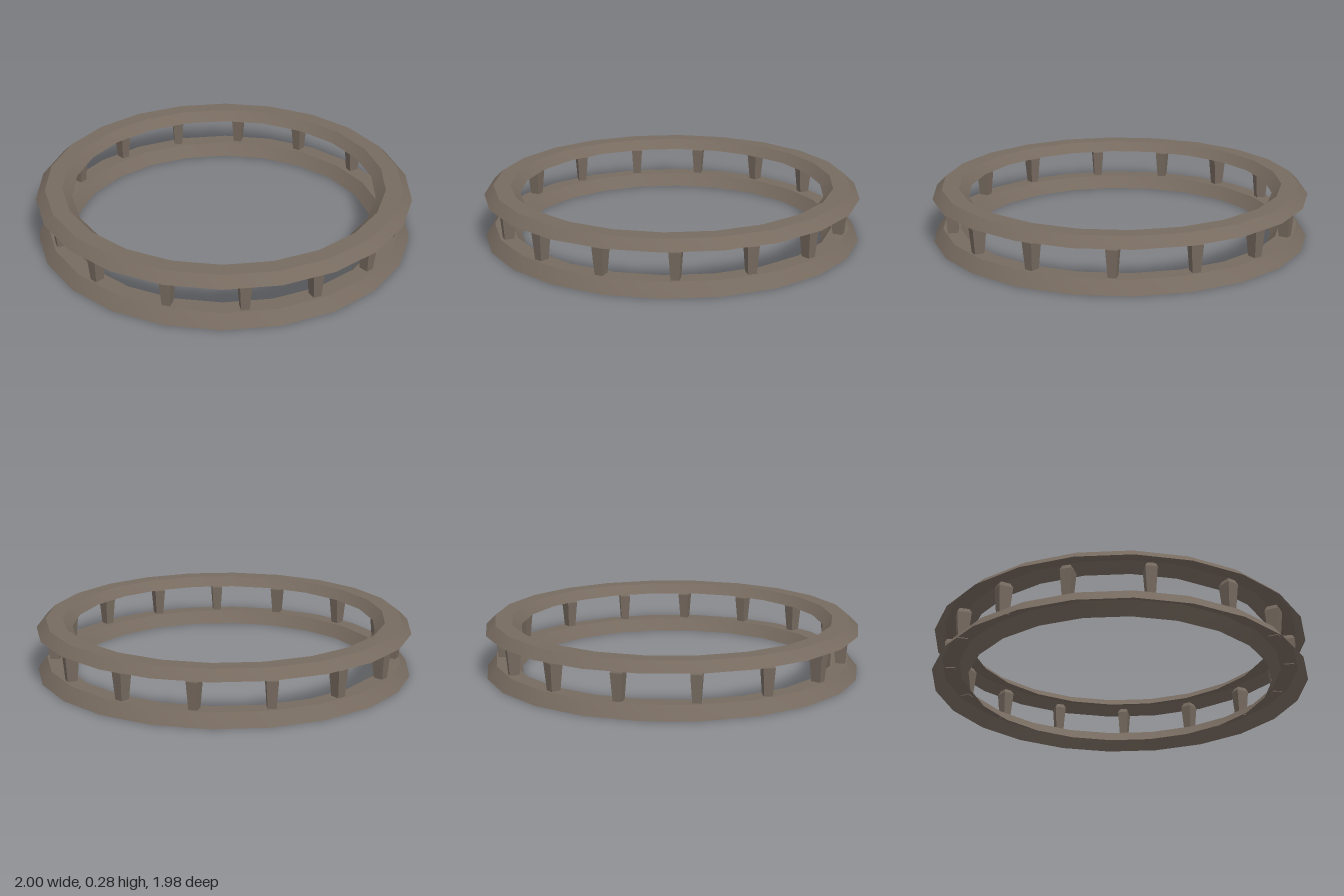
import * as THREE from 'three';
import { toCreasedNormals } from 'three/addons/utils/BufferGeometryUtils.js';

const SIDES = 22;

// Hollow ring: sloping outer wall, flat top, sloping inner wall, open underneath
function ringGeometry(y0, y1) {
  const profile = [[1, y0], [0.95, y1], [0.86, y1], [0.81, y0]]
    .map(([r, y]) => new THREE.Vector2(r, y));
  const lathe = new THREE.LatheGeometry(profile, SIDES, Math.PI / 2);
  return toCreasedNormals(lathe, 0.5);
}

// Tapered post: narrow foot, wider shoulder, chamfered head
function postGeometry() {
  const geo = new THREE.BoxGeometry(1, 1, 1, 1, 2, 1).toNonIndexed();
  const levels = [
    { y: 0.06, w: 0.042, d: 0.05 },
    { y: 0.207, w: 0.06, d: 0.074 },
    { y: 0.231, w: 0.04, d: 0.05 },
  ];
  const p = geo.attributes.position;
  for (let i = 0; i < p.count; i++) {
    const { y, w, d } = levels[Math.round((p.getY(i) + 0.5) * 2)];
    p.setXYZ(i, p.getX(i) * w, y, p.getZ(i) * d);
  }
  geo.computeVertexNormals();
  return geo;
}

export function createModel() {
  const model = new THREE.Group();
  model.name = 'railingRing';

  const stone = new THREE.MeshStandardMaterial({ color: 0x776b60, side: THREE.DoubleSide });
  stone.name = 'brownStone';

  // Lower and upper rings
  for (const [name, y0, y1] of [['lowerRing', 0, 0.065], ['upperRing', 0.23, 0.28]]) {
    const ring = new THREE.Mesh(ringGeometry(y0, y1), stone);
    ring.name = name;
    model.add(ring);
  }

  // Posts between the rings: [angle from the front towards +x, turn], in degrees
  const posts = new THREE.Group();
  posts.name = 'posts';
  const geo = postGeometry();
  const placements = [
    [11.9, 1], [35.4, 25], [58.9, 50], [84.6, 76], [110, 102],
    [134, 124], [157.3, 147], [180.6, 180], [204.3, 192], [227.2, 206],
    [250.3, 250], [275.4, 275], [302, 302], [325.7, 330], [348.8, 345],
  ];
  for (const [angle, turn] of placements) {
    const a = THREE.MathUtils.degToRad(angle);
    const post = new THREE.Mesh(geo, stone);
    post.name = 'post';
    post.position.set(0.905 * Math.sin(a), 0, 0.905 * Math.cos(a));
    post.rotation.y = THREE.MathUtils.degToRad(turn);
    posts.add(post);
  }
  model.add(posts);

  return model;
}
